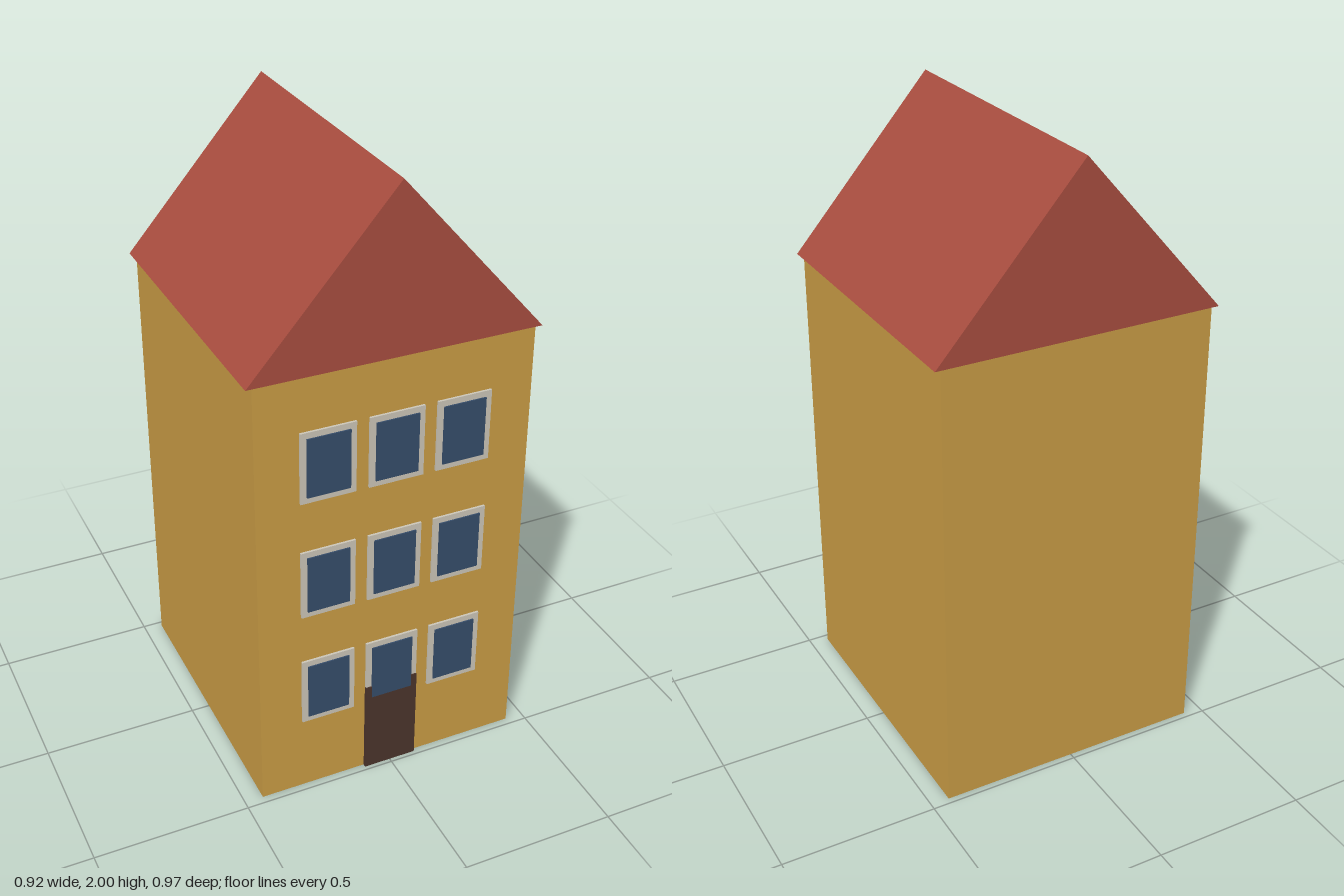
import * as THREE from 'three';

const material = (name, color) => {
  const m = new THREE.MeshStandardMaterial({ color });
  m.name = name;
  return m;
};

export function createModel() {
  const house = new THREE.Group();
  house.name = 'townHouse';
  const wall = material('ochreWall', 0xc99c45);
  const tile = material('redRoof', 0xa84d3f);
  const trim = material('paleFrame', 0xccc6b8);
  const pane = material('blueGlass', 0x364d6a);
  const wood = material('brownDoor', 0x4b342c);

  // Box given by its centre in x and y, and its back and front in z
  const addBox = (parent, name, mat, x, y, w, h, back, front) => {
    const mesh = new THREE.Mesh(new THREE.BoxGeometry(w, h, front - back), mat);
    mesh.name = name;
    mesh.position.set(x, y, (back + front) / 2);
    parent.add(mesh);
  };

  const wallFront = 0.475;
  addBox(house, 'walls', wall, 0, 0.7375, 0.88, 1.475, -0.48, wallFront);

  // Gabled roof prism with a small overhang
  const gable = new THREE.Shape();
  gable.moveTo(-0.46, 1.475);
  gable.lineTo(0.46, 1.475);
  gable.lineTo(0, 2);
  gable.closePath();
  const roofGeometry = new THREE.ExtrudeGeometry(gable, { depth: 0.967, bevelEnabled: false });
  const roof = new THREE.Mesh(roofGeometry, tile);
  roof.name = 'roof';
  roof.position.z = -0.487;
  house.add(roof);

  // Door
  addBox(house, 'door', wood, 0, 0.1625, 0.176, 0.325, wallFront, 0.4865);

  // Three rows of three windows, each a frame with a raised pane
  for (const y of [0.38, 0.782, 1.185]) {
    for (const x of [-0.216, 0, 0.216]) {
      const win = new THREE.Group();
      win.name = 'window';
      addBox(win, 'windowFrame', trim, x, y, 0.175, 0.233, wallFront, 0.4825);
      addBox(win, 'windowPane', pane, x, y, 0.137, 0.194, 0.48, 0.487);
      house.add(win);
    }
  }
  return house;
}
